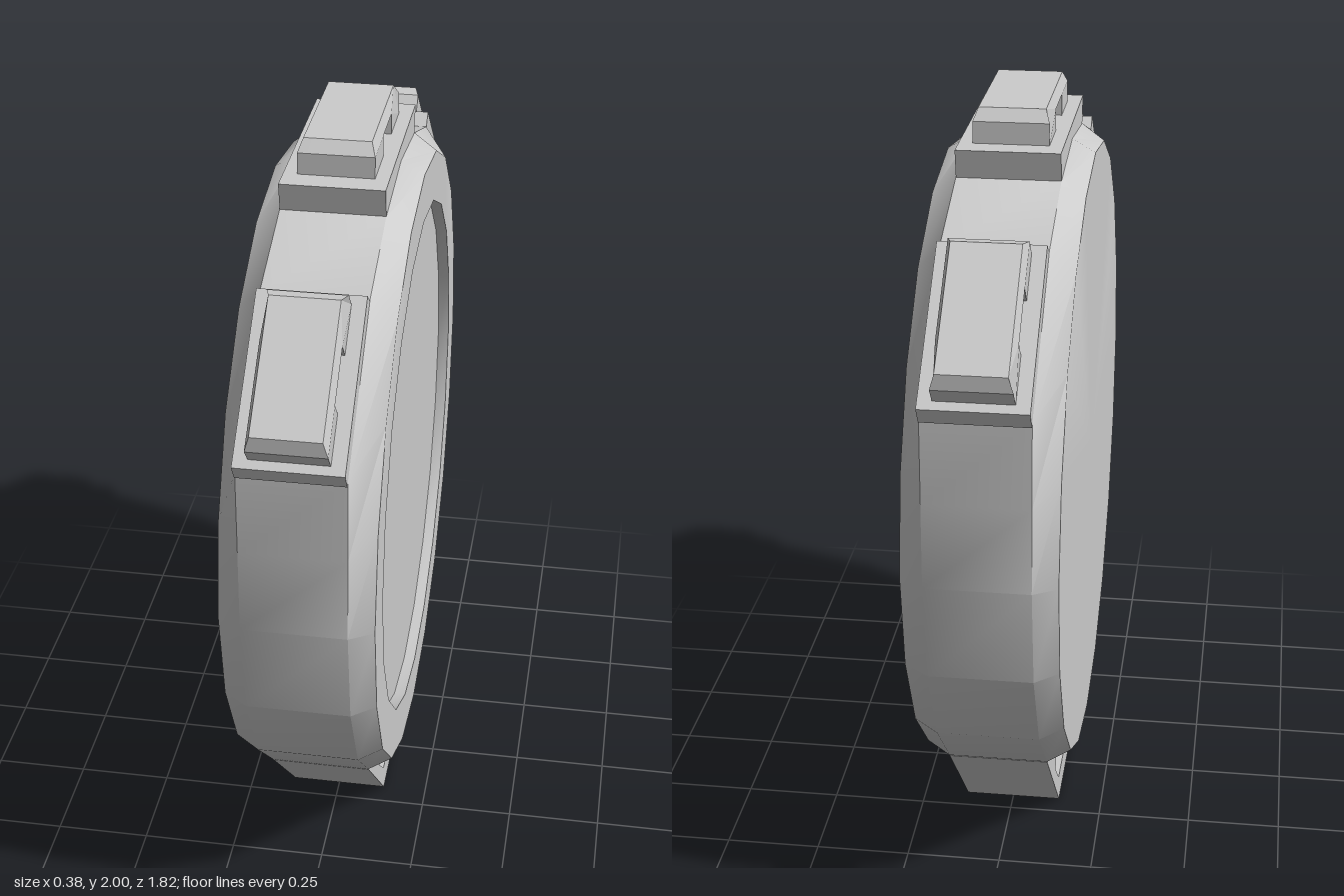
import * as THREE from 'three';
import { toCreasedNormals } from 'three/addons/utils/BufferGeometryUtils.js';

const material = new THREE.MeshStandardMaterial({ color: 0xcccccc });
const SIDES = 20, CENTRE_Y = 1.02;

function mesh(geometry, name) {
  const m = new THREE.Mesh(geometry, material);
  m.name = name;
  return m;
}

// Extrudes a [z, y] outline across x, between x0 and x1
function extrudeX(points, x0, x1) {
  const shape = new THREE.Shape(points.map(([z, y]) => new THREE.Vector2(-z, y)));
  const g = new THREE.ExtrudeGeometry(shape, { depth: x1 - x0, bevelEnabled: false });
  return g.translate(0, 0, x0).rotateY(Math.PI / 2);
}

// 20-sided ring; step 0 is the top and steps run towards +z
function ring(x, r) {
  return Array.from({ length: SIDES }, (_, i) => {
    const a = (i / SIDES) * Math.PI * 2;
    return [x, CENTRE_Y + r * Math.cos(a), r * Math.sin(a)];
  });
}

// Outer band ring, pulled out to meet the button mounts
function bandRing(x) {
  const points = ring(x, 0.855);
  const pulled = { 1: [1.842, 0.262], 2: [1.753, 0.52], 3: [1.457, 0.852], 4: [1.24, 0.853] };
  for (const [i, [y, z]] of Object.entries(pulled)) {
    points[i] = [x, y, z];
    points[SIDES - i] = [x, y, -z];
  }
  return points;
}

// Case: flat back, chamfer, band, chamfer, rim and recessed dial
function caseGeometry() {
  const rings = [
    ring(-0.19, 0), ring(-0.19, 0.82), bandRing(-0.13), bandRing(0.13),
    ring(0.19, 0.82), ring(0.19, 0.69), ring(0.16, 0.69), ring(0.16, 0),
  ];
  const positions = [];
  for (let j = 0; j < rings.length - 1; j++) {
    for (let i = 0; i < SIDES; i++) {
      const n = (i + 1) % SIDES;
      const a = rings[j][i], b = rings[j][n], c = rings[j + 1][n], d = rings[j + 1][i];
      if (j > 0) positions.push(...a, ...b, ...d);
      if (j < rings.length - 2) positions.push(...b, ...c, ...d);
      else continue;
      if (j === 0) continue;
    }
  }
  const g = new THREE.BufferGeometry();
  g.setAttribute('position', new THREE.Float32BufferAttribute(positions, 3));
  return toCreasedNormals(g, 0.6);
}

// Narrows the upper edge of a button part in x
function taper(g) {
  const p = g.attributes.position;
  for (let i = 0; i < p.count; i++) if (p.getY(i) > 0.07) p.setX(i, p.getX(i) * 0.88);
  g.computeVertexNormals();
  return g;
}

// Plate with a bevelled button, whose sides are notched; y = 0 is the plate top
function buttonMount(name, { half, plateBottom, plateTop, plateHeight }) {
  const group = new THREE.Group();
  group.name = name;
  group.add(mesh(extrudeX([
    [-plateBottom, -plateHeight], [plateBottom, -plateHeight], [plateTop, 0], [-plateTop, 0],
  ], -0.13, 0.13), 'mountPlate'));

  const upper = [[half, 0], [half, 0.055], [half - 0.025, 0.085],
    [0.025 - half, 0.085], [-half, 0.055], [-half, 0]];
  const notch = [[-0.07, 0], [-0.07, 0.055], [0.07, 0.055], [0.07, 0]];
  group.add(mesh(taper(extrudeX(upper, -0.07, 0.07)), 'buttonCore'));
  group.add(mesh(taper(extrudeX([...upper, ...notch], 0.07, 0.095)), 'buttonLeftSide'));
  group.add(mesh(taper(extrudeX([...upper, ...notch], -0.095, -0.07)), 'buttonRightSide'));
  return group;
}

export function createModel() {
  const model = new THREE.Group();
  model.name = 'stopwatch';
  model.add(mesh(caseGeometry(), 'case'));

  // Top button
  const top = buttonMount('topButton', { half: 0.21, plateBottom: 0.26, plateTop: 0.275, plateHeight: 0.075 });
  top.position.y = 1.915;
  model.add(top);

  // Slanted buttons, front and back
  for (const s of [1, -1]) {
    const corner = buttonMount(s > 0 ? 'frontButton' : 'backButton',
      { half: 0.195, plateBottom: 0.225, plateTop: 0.218, plateHeight: 0.053 });
    corner.position.set(0, 1.637, s * 0.724);
    corner.rotation.x = s * THREE.MathUtils.degToRad(41);
    model.add(corner);
  }

  // Strap loop under the case
  const side = [[0.19, 0], [0.5, 0.325], [0.27, 0.23], [0.285, 0.16], [0.2, 0.08]];
  const mirrored = side.map(([z, y]) => [-z, y]).reverse();
  model.add(mesh(extrudeX([...side, ...mirrored], -0.13, 0.13), 'strapLoop'));
  return model;
}
